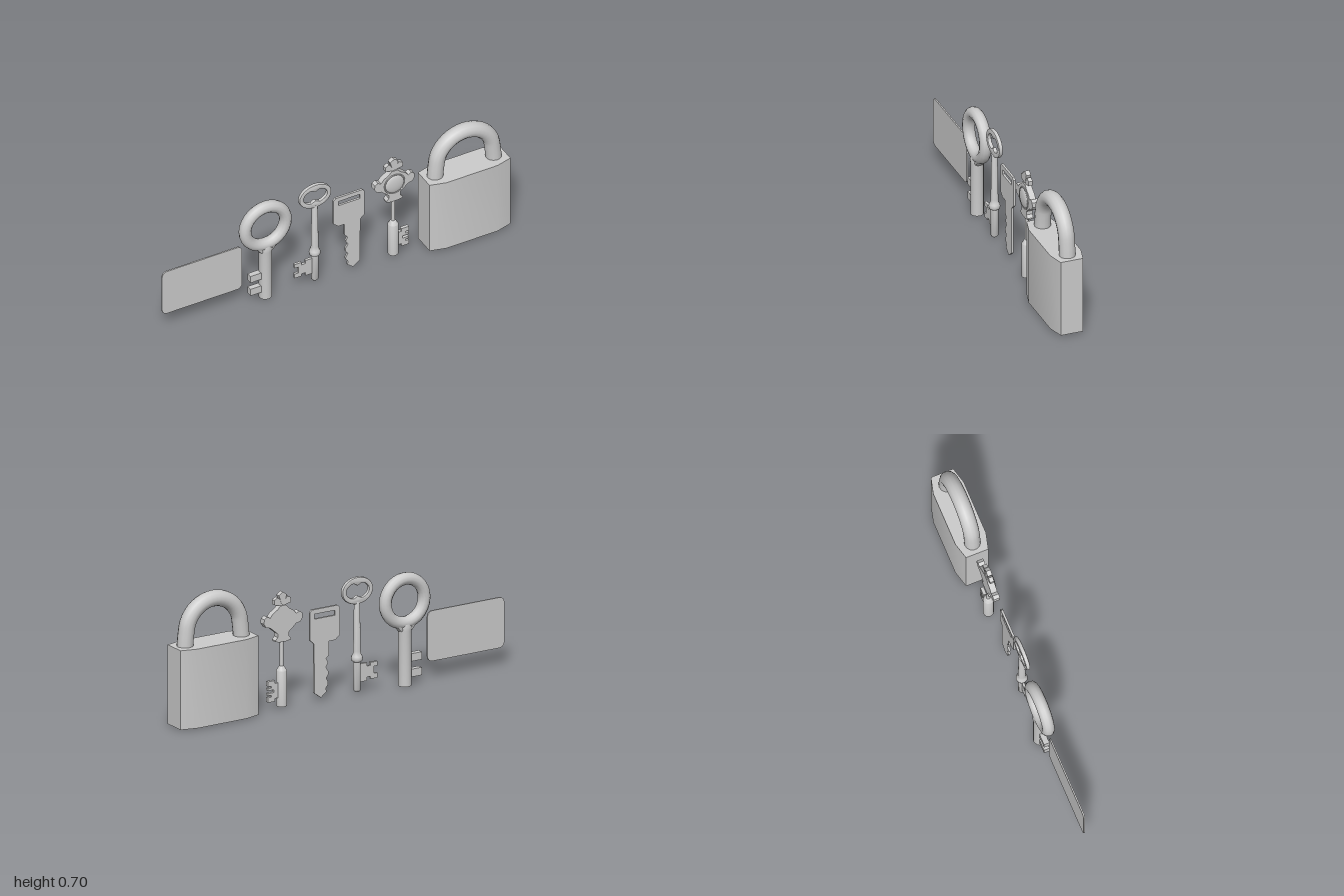
import * as THREE from 'three';
import { toCreasedNormals } from 'three/addons/utils/BufferGeometryUtils.js';

const grey = new THREE.MeshStandardMaterial({ color: 0xcccccc });
const toV = ([x, y]) => new THREE.Vector2(x, y);

function add(group, name, geometry, x = 0, y = 0, z = 0) {
  const mesh = new THREE.Mesh(geometry, grey);
  mesh.name = name;
  mesh.position.set(x, y, z);
  group.add(mesh);
  return mesh;
}

// Flat plate from an outline, centred in depth, with optional holes and bevel
function plate(shape, depth, holes = [], bevel = 0) {
  const s = shape instanceof THREE.Shape ? shape : new THREE.Shape(shape.map(toV));
  holes.forEach(h => s.holes.push(new THREE.Path(h.map(toV))));
  const g = new THREE.ExtrudeGeometry(s, {
    depth: depth - 2 * bevel, curveSegments: 6, bevelEnabled: bevel > 0,
    bevelSize: bevel, bevelThickness: bevel, bevelOffset: -bevel, bevelSegments: 2,
  });
  g.translate(0, 0, -depth / 2 + bevel);
  return toCreasedNormals(g, 0.6);
}

function roundedRect(x0, y0, x1, y1, r) {
  const s = new THREE.Shape();
  s.absarc(x1 - r, y1 - r, r, 0, Math.PI / 2);
  s.absarc(x0 + r, y1 - r, r, Math.PI / 2, Math.PI);
  s.absarc(x0 + r, y0 + r, r, Math.PI, Math.PI * 1.5);
  s.absarc(x1 - r, y0 + r, r, Math.PI * 1.5, Math.PI * 2);
  return s;
}

const turned = (profile, n = 16) =>
  toCreasedNormals(new THREE.LatheGeometry(profile.map(toV), n), 0.7);

const ellipse = (rx, ry, pinch = 0, n = 36) => Array.from({ length: n }, (_, i) => {
  const t = (i / n) * Math.PI * 2, x = rx * Math.cos(t);
  return [x, ry * Math.sin(t) * (1 - pinch * Math.exp(-((x / 0.016) ** 2)))];
});

const mirrored = half => [...half, ...half.slice().reverse().map(([x, y]) => [-x, y])];

function named(parent, name, x, z) {
  const g = new THREE.Group();
  g.name = name;
  g.position.set(x, 0, z);
  parent.add(g);
  return g;
}

function buildRingKey(root) {
  const key = named(root, 'ringKey', -0.393, -0.029);
  add(key, 'ringBow', new THREE.TorusGeometry(0.119, 0.033, 12, 28), 0, 0.457, 0);
  add(key, 'shaft', turned([[0, 0], [0.035, 0], [0.035, 0.3], [0.038, 0.32], [0.03, 0.345], [0, 0.35]]));
  // Shoulders blending the shaft into the ring
  add(key, 'neck', plate([[-0.034, 0.295], [0.034, 0.295], [0.075, 0.345], [0, 0.36], [-0.075, 0.345]], 0.048, [], 0.012));
  for (const y of [0.063, 0.147])
    add(key, 'tooth', new THREE.BoxGeometry(0.08, 0.042, 0.03), -0.055, y, 0);
}

function buildHeartKey(root) {
  const key = named(root, 'heartBowKey', -0.111, -0.013);
  add(key, 'bow', plate(ellipse(0.094, 0.073), 0.022, [ellipse(0.069, 0.044, 0.4)], 0.006), 0, 0.557, 0);
  add(key, 'shaft', turned([
    [0, 0.012], [0.014, 0.012], [0.02, 0.02], [0.02, 0.172], [0.028, 0.178], [0.031, 0.19], [0.028, 0.203],
    [0.022, 0.212], [0.02, 0.23], [0.016, 0.48], [0.012, 0.497], [0, 0.5],
  ]));
  add(key, 'bit', plate([
    [0, 0.158], [-0.057, 0.158], [-0.057, 0.139], [-0.08, 0.139], [-0.08, 0.155], [-0.122, 0.155], [-0.122, 0.131],
    [-0.1, 0.131], [-0.1, 0.093], [-0.122, 0.093], [-0.122, 0.066], [-0.08, 0.066], [-0.08, 0.08],
    [-0.057, 0.08], [-0.057, 0.06], [0, 0.06],
  ].reverse(), 0.014));
}

function buildFlatKey(root) {
  const key = named(root, 'flatKey', 0, -0.009);
  const outline = [
    [-0.005, 0.485], [-0.005, 0.335], [0.022, 0.312], [0.06, 0.312],
    // Toothed cutting edge
    [0.06, 0.24], [0.078, 0.22], [0.066, 0.198], [0.08, 0.175], [0.064, 0.15], [0.064, 0.135],
    [0.078, 0.115], [0.066, 0.092], [0.066, 0.08], [0.08, 0.062], [0.076, 0.042],
    [0.11, 0.015], [0.15, 0.045], [0.152, 0.312], [0.177, 0.335], [0.177, 0.485], [0.165, 0.498], [0.008, 0.498],
  ];
  const slot = [[0.024, 0.446], [0.15, 0.446], [0.15, 0.473], [0.024, 0.473]];
  add(key, 'keyPlate', plate(outline, 0.012, [slot]));
}

function buildOrnateKey(root) {
  const key = named(root, 'ornateKey', 0.348, -0.01);
  add(key, 'bow', plate(mirrored([
    [0.048, 0.375], [0.034, 0.39], [0.034, 0.41], [0.058, 0.43], [0.078, 0.448], [0.105, 0.454], [0.118, 0.475],
    [0.116, 0.5], [0.098, 0.512], [0.08, 0.502], [0.064, 0.522], [0.035, 0.54], [0.018, 0.558],
  ]).concat([[-0.048, 0.368], [-0.02, 0.362], [0.02, 0.362], [0.048, 0.368]]), 0.034));
  // Domed medallion set in the front face
  const dome = add(key, 'medallion',
    new THREE.SphereGeometry(0.055, 20, 6, 0, Math.PI * 2, 0, Math.PI / 2), 0, 0.473, 0.016);
  dome.rotation.x = Math.PI / 2;
  dome.scale.y = 0.25;
  add(key, 'medallionRim', new THREE.TorusGeometry(0.058, 0.004, 6, 24), 0, 0.473, 0.017);
  // Crown of three flared petals
  for (const a of [-1.05, 0, 1.05]) {
    const petal = add(key, 'crownPetal', plate([
      [-0.007, 0], [0.007, 0], [0.024, 0.052], [0.01, 0.062], [0, 0.068], [-0.01, 0.062], [-0.024, 0.052],
    ], 0.026), 0, 0.562, 0);
    petal.rotation.z = a;
    petal.scale.setScalar(a ? 0.88 : 1);
  }
  add(key, 'shaft', turned([
    [0, 0.013], [0.028, 0.013], [0.028, 0.205], [0.022, 0.212], [0.016, 0.225], [0.01, 0.228], [0.01, 0.365], [0, 0.37],
  ]));
  add(key, 'bit', plate([
    [0.02, 0.142], [0.045, 0.142], [0.045, 0.158], [0.088, 0.158], [0.088, 0.131], [0.067, 0.131], [0.067, 0.121],
    [0.088, 0.121], [0.088, 0.109], [0.052, 0.109], [0.052, 0.094], [0.088, 0.094], [0.088, 0.082],
    [0.067, 0.082], [0.067, 0.072], [0.088, 0.072], [0.088, 0.045], [0.045, 0.045], [0.045, 0.061], [0.02, 0.061],
  ].reverse(), 0.018));
}

function buildPadlock(root) {
  const lock = named(root, 'padlock', 0.761, 0);
  // Body: long octagonal plan extruded upward
  const w = 0.238;
  const body = plate([
    [-w, -0.062], [-0.15, -0.085], [0.15, -0.085], [w, -0.062],
    [w, 0.062], [0.15, 0.085], [-0.15, 0.085], [-w, 0.062],
  ], 0.428);
  body.rotateX(-Math.PI / 2);
  add(lock, 'lockBody', body, 0, 0.221, 0);
  // Shackle: legs splayed slightly below a round arch
  const arch = Array.from({ length: 9 }, (_, i) => {
    const a = Math.PI - (i / 8) * Math.PI;
    return new THREE.Vector3(0.166 * Math.cos(a), 0.495 + 0.167 * Math.sin(a), 0);
  });
  const path = new THREE.CatmullRomCurve3([
    new THREE.Vector3(-0.174, 0.41, 0), ...arch, new THREE.Vector3(0.174, 0.41, 0),
  ]);
  add(lock, 'shackle', new THREE.TubeGeometry(path, 28, 0.043, 14));
}

export function createModel() {
  const root = new THREE.Group();
  root.name = 'keysAndPadlock';
  add(root, 'card', plate(roundedRect(-1, 0.102, -0.53, 0.375, 0.03), 0.008), 0, 0, -0.03);
  buildRingKey(root);
  buildHeartKey(root);
  buildFlatKey(root);
  buildOrnateKey(root);
  buildPadlock(root);
  return root;
}
